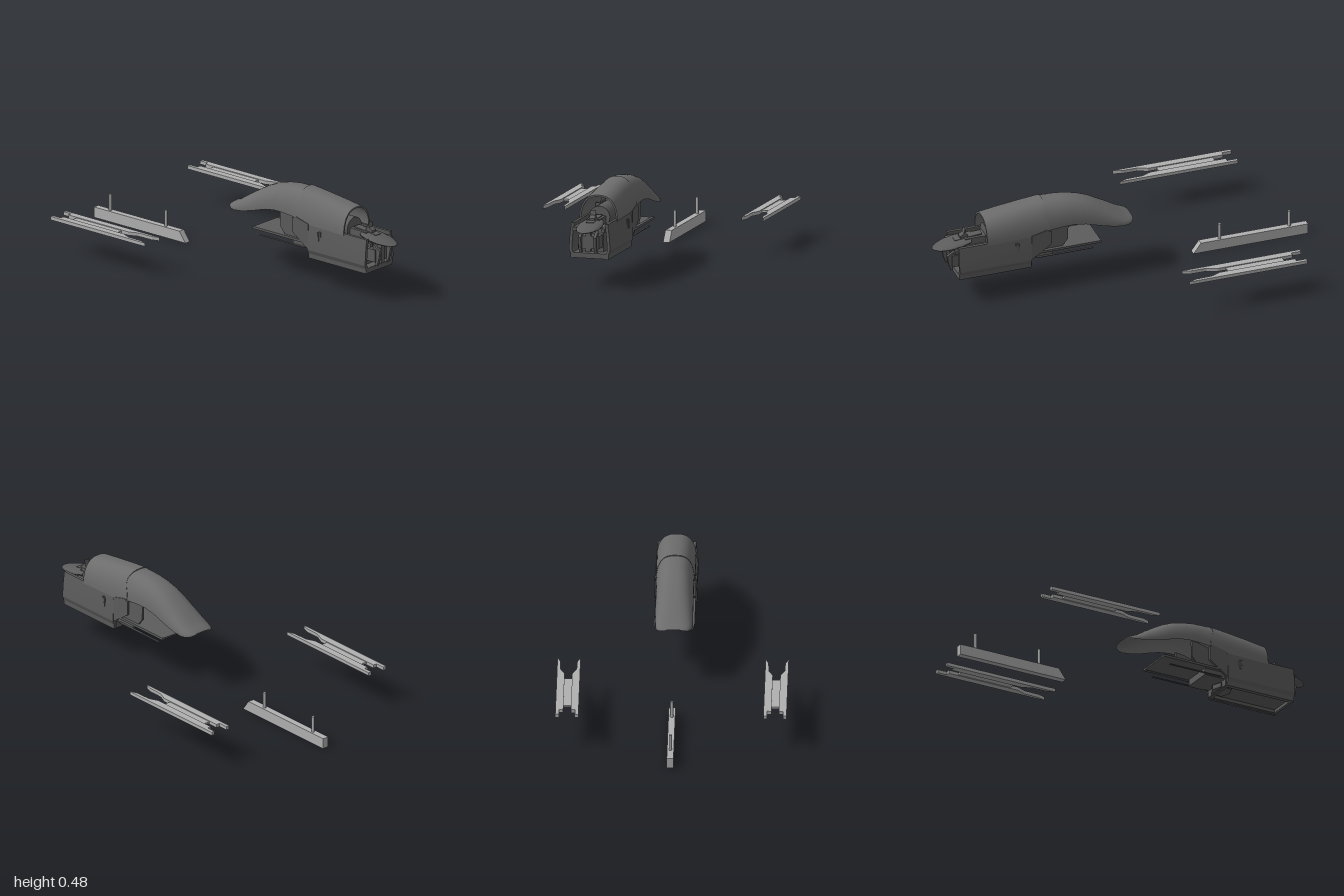
import * as THREE from 'three';
import { toCreasedNormals } from 'three/addons/utils/BufferGeometryUtils.js';

const paint = color => new THREE.MeshStandardMaterial({ color, side: THREE.DoubleSide });
const lightGrey = paint(0xb0b0b0), shellGrey = paint(0x6c6c6c), darkGrey = paint(0x5c5c5c);

// each group carries the paint used by its parts
function section(name, material) {
  const g = new THREE.Group();
  g.name = name;
  return { g, material };
}

function add(part, name, geo, x = 0, y = 0, z = 0) {
  const m = new THREE.Mesh(geo, part.material);
  m.name = name;
  m.position.set(x, y, z);
  part.g.add(m);
}

// box given by its min/max limits
function block(part, name, x0, x1, y0, y1, z0, z1) {
  add(part, name, new THREE.BoxGeometry(x1 - x0, y1 - y0, z1 - z0),
    (x0 + x1) / 2, (y0 + y1) / 2, (z0 + z1) / 2);
}

// outline in x/y, extruded along z and centred on z = 0
function slab(points, depth) {
  const s = new THREE.Shape(points.map(p => new THREE.Vector2(...p)));
  return new THREE.ExtrudeGeometry(s, { depth, bevelEnabled: false }).translate(0, 0, -depth / 2);
}

// surface through equal-length rings of [x, y, z] points
function loft(rings) {
  const n = rings[0].length, idx = [];
  for (let i = 0; i < rings.length - 1; i++) {
    for (let j = 0; j < n - 1; j++) {
      const a = i * n + j, b = a + n;
      idx.push(a, a + 1, b, b, a + 1, b + 1);
    }
  }
  const g = new THREE.BufferGeometry();
  g.setAttribute('position', new THREE.Float32BufferAttribute(rings.flat(2), 3));
  g.setIndex(idx);
  g.computeVertexNormals();
  return g;
}

// arched section; "sweep" shifts the middle of each flank along x
function arch(x, top, bottom, half, sweep = 0) {
  const ring = [];
  for (let k = 0; k <= 28; k++) {
    const a = Math.PI * k / 28, s = Math.sin(a), c = Math.cos(a);
    const up = Math.pow(s, 0.9);
    ring.push([x + sweep * Math.sin(2 * Math.PI * up) * -1, bottom + (top - bottom) * up,
      half * Math.sign(c) * Math.pow(Math.abs(c), 0.8)]);
  }
  return ring;
}

// ground keel with two posts
function makeKeel() {
  const p = section('keel', lightGrey);
  add(p, 'keelBeam', slab([[-1, 0], [-0.39, 0], [-0.43, 0.055], [-1, 0.055]], 0.034));
  for (const x of [-0.905, -0.535])
    add(p, 'keelPost', new THREE.CylinderGeometry(0.008, 0.008, 0.09, 16), x, 0.095, 0);
  return p.g;
}

// forked outrigger: two notched rails joined by a thin web
function makeOutrigger(z) {
  const p = section('outrigger', lightGrey);
  const rail = [[-0.797, 0.058], [-0.797, 0.04], [-0.745, 0.04], [-0.745, 0.019],
    [-0.345, 0.019], [-0.295, 0.04], [-0.21, 0.042], [-0.17, 0.056], [-0.175, 0.058]];
  for (const s of [1, -1])
    add(p, 'outriggerRail', slab(rail.map(([x, y]) => [x, s * y]), 0.018).rotateX(Math.PI / 2));
  block(p, 'outriggerWeb', -0.69, -0.39, -0.005, 0.005, -0.02, 0.02);
  p.g.position.set(0, 0.187, z);
  return p.g;
}

// long curved cowling and rear hood
function makeCowling() {
  const p = section('cowling', shellGrey);
  // x, top y, bottom y, half width
  const rows = [[-0.058, 0.302, 0.296, 0.045], [-0.05, 0.309, 0.291, 0.07], [-0.03, 0.318, 0.286, 0.085],
    [0, 0.333, 0.285, 0.093], [0.05, 0.366, 0.291, 0.095], [0.115, 0.405, 0.307, 0.095], [0.16, 0.43, 0.321, 0.095],
    [0.21, 0.451, 0.336, 0.095], [0.27, 0.467, 0.345, 0.095], [0.33, 0.476, 0.345, 0.096], [0.43, 0.48, 0.335, 0.097]];
  add(p, 'noseCowl', loft(rows.map(r => arch(...r))));
  const hood = [[0.415, 0.484, 0.32, 0.1, 0.012], [0.52, 0.473, 0.32, 0.1],
    [0.63, 0.459, 0.318, 0.1], [0.735, 0.443, 0.315, 0.1]];
  const inner = hood.map(([x, t, b, h, s]) => arch(x, t - 0.008, b, h - 0.008, s));
  const outer = hood.map(r => arch(...r));
  add(p, 'hood', loft(outer));
  add(p, 'hoodLining', loft(inner));
  add(p, 'hoodRim', loft([outer[3], inner[3]]));
  add(p, 'hoodFrontRim', loft([outer[0], inner[0]]));
  return p.g;
}

function makeHull() {
  const p = section('hull', darkGrey);

  // side walls, bulging outward just above the floor
  const bulge = [[0.145, 0.093], [0.17, 0.094], [0.19, 0.102], [0.25, 0.099], [0.325, 0.09]];
  for (const s of [1, -1]) {
    const rings = [0.5, 0.885].map(x => {
      const out = bulge.map(([y, z]) => [x, y, s * (z + 0.006)]);
      const inn = bulge.map(([y, z]) => [x, y, s * (z - 0.009)]).reverse();
      return [...out, ...inn, out[0]];
    });
    add(p, 'sideWall', toCreasedNormals(loft(rings), 0.3));
    for (const x of [0.5, 0.885]) {
      const ends = [0.006, -0.009].map(d => bulge.map(([y, z]) => [x, y, s * (z + d)]));
      add(p, 'wallEnd', loft(ends));
    }
    // tapered front shoulder and flank ahead of the wall
    add(p, 'shoulder', slab([[0.5, 0.325], [0.5, 0.19], [0.395, 0.262], [0.395, 0.335], [0.42, 0.345]], 0.012), 0, 0, s * 0.097);
    add(p, 'frontFlank', slab([[0.3, 0.35], [0.302, 0.265], [0.335, 0.225], [0.5, 0.22], [0.5, 0.33], [0.4, 0.33], [0.345, 0.345]], 0.012), 0, 0, s * 0.08);
    // latch on the wall
    block(p, 'latch', 0.565, 0.575, 0.25, 0.295, s * 0.102 - 0.006, s * 0.102 + 0.006);
    block(p, 'latchFoot', 0.572, 0.585, 0.272, 0.3, s * 0.1 - 0.005, s * 0.1 + 0.005);
    // thin runner below the front deck
    block(p, 'runner', 0.17, 0.47, 0.188, 0.192, s * 0.088 - 0.005, s * 0.088 + 0.005);
    block(p, 'deckRail', 0.13, 0.5, 0.218, 0.23, s * 0.094 - 0.008, s * 0.094 + 0.008);
    block(p, 'floorRail', 0.5, 0.885, 0.147, 0.17, s * 0.08 - 0.008, s * 0.08 + 0.008);
  }

  // recessed floor with cross frames
  block(p, 'floor', 0.5, 0.885, 0.164, 0.174, -0.09, 0.09);
  for (const x of [0.507, 0.878])
    block(p, 'floorFrame', x - 0.007, x + 0.007, 0.147, 0.17, -0.088, 0.088);
  block(p, 'frontDeck', 0.13, 0.5, 0.22, 0.228, -0.09, 0.09);
  block(p, 'bulkhead', 0.495, 0.51, 0.15, 0.36, -0.088, 0.088);
  block(p, 'underBlock', 0.38, 0.5, 0.185, 0.222, -0.08, 0.08);
  const skid = slab([[-0.03, -0.05], [0.03, -0.05], [0.05, 0], [0.03, 0.05], [-0.03, 0.05], [-0.05, 0]], 0.025);
  add(p, 'underPlate', skid.rotateX(Math.PI / 2), 0.52, 0.166, 0);

  // inner machinery
  block(p, 'innerBody', 0.51, 0.84, 0.172, 0.3, -0.06, 0.06);
  add(p, 'engineCore', new THREE.CylinderGeometry(0.055, 0.055, 0.22, 24).rotateZ(Math.PI / 2), 0.61, 0.33, 0);
  block(p, 'saddle', 0.7, 0.83, 0.3, 0.337, -0.035, 0.035);
  return p.g;
}

function makeTail() {
  const p = section('tail', darkGrey);
  // flat rounded bill: x, top y, bottom y, half width
  const bill = [[0.8, 0.338, 0.308, 0.05], [0.86, 0.332, 0.293, 0.063], [0.92, 0.319, 0.289, 0.06],
    [0.965, 0.305, 0.29, 0.043], [0.985, 0.299, 0.291, 0.025], [0.994, 0.295, 0.292, 0.005]];
  const rings = bill.map(([x, t, b, h]) => Array.from({ length: 17 }, (_, k) => {
    const a = k / 16 * Math.PI * 2;
    return [x, (t + b) / 2 + (t - b) / 2 * Math.sin(a), h * Math.cos(a)];
  }));
  add(p, 'bill', loft(rings));
  // spine arm and raised sight
  add(p, 'spine', slab([[0.735, 0.345], [0.82, 0.338], [0.88, 0.33], [0.88, 0.3], [0.735, 0.31]], 0.04));
  add(p, 'sight', slab([[0.805, 0.335], [0.85, 0.33], [0.85, 0.345], [0.83, 0.358], [0.825, 0.384], [0.818, 0.36]], 0.03));
  block(p, 'backBlock', 0.84, 0.905, 0.2, 0.265, -0.055, 0.055);
  block(p, 'backPost', 0.88, 0.91, 0.185, 0.3, -0.012, 0.012);
  for (const s of [1, -1]) {
    add(p, 'tailProng', slab([[0.885, 0.29], [0.93, 0.26], [0.922, 0.215], [0.91, 0.18], [0.9, 0.18], [0.905, 0.25], [0.885, 0.26]], 0.014), 0, 0, s * 0.04);
    block(p, 'sideArm', 0.74, 0.9, 0.285, 0.305, s * 0.075 - 0.009, s * 0.075 + 0.009);
  }
  return p.g;
}

export function createModel() {
  const model = new THREE.Group();
  model.name = 'craft';
  model.add(makeKeel(), makeOutrigger(0.522), makeOutrigger(-0.522), makeCowling(), makeHull(), makeTail());
  return model;
}
